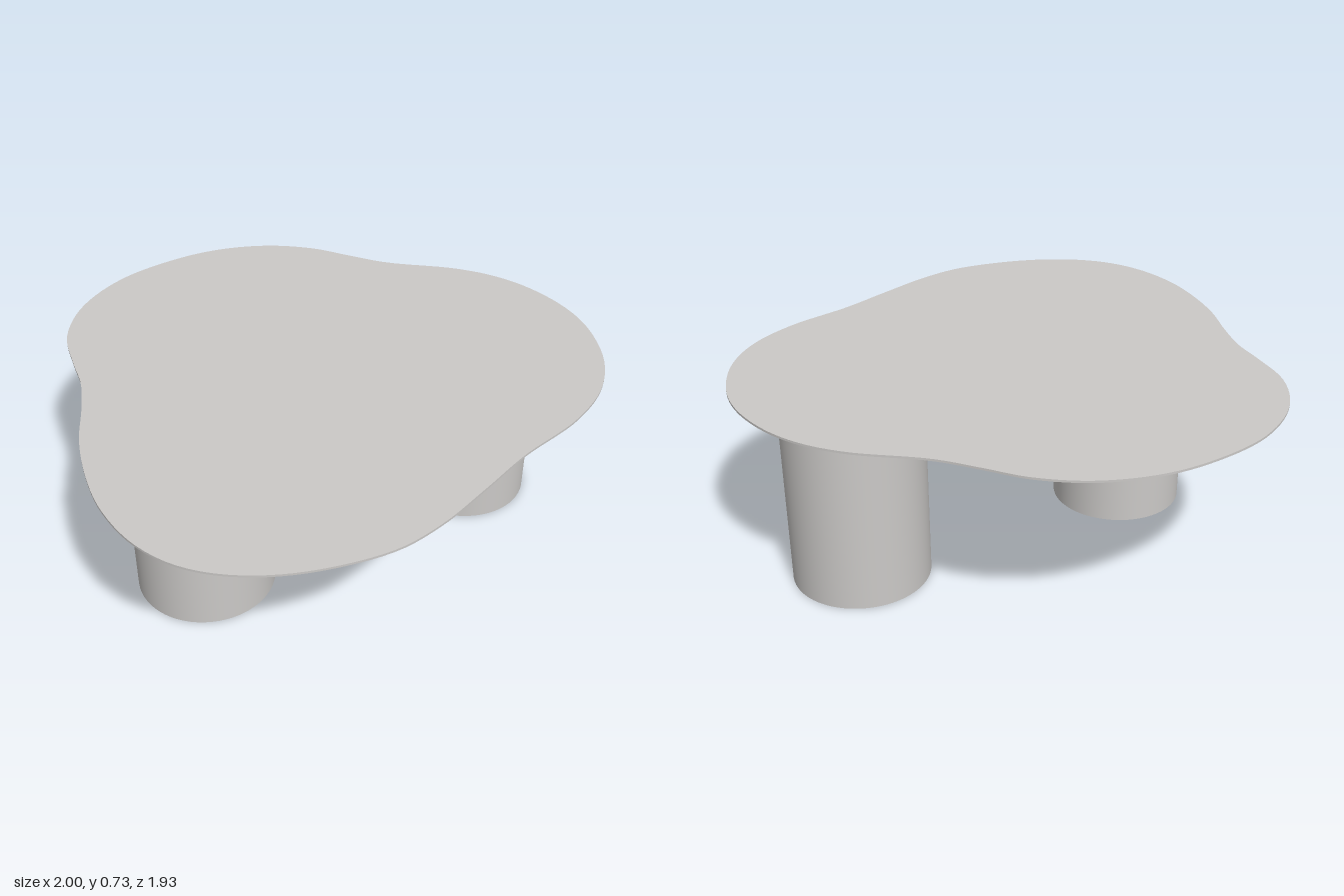
import * as THREE from 'three';

const stone = new THREE.MeshStandardMaterial({ color: 0xcbc9c7 });
stone.name = 'warm grey';

// Outline of the top as x, z pairs, anticlockwise seen from above
const OUTLINE = [
  [-0.13, -0.97], [-0.395, -0.93], [-0.61, -0.807], [-0.738, -0.635], [-0.783, -0.45],
  [-0.805, -0.32], [-0.86, -0.17], [-0.93, -0.01], [-0.981, 0.18], [-1, 0.35],
  [-0.978, 0.535], [-0.913, 0.682], [-0.80, 0.80], [-0.61, 0.902], [-0.32, 0.962],
  [-0.13, 0.937], [0.085, 0.868], [0.30, 0.793], [0.567, 0.727], [0.754, 0.632],
  [0.888, 0.492], [0.978, 0.296], [1, 0.135], [0.973, -0.05], [0.909, -0.20],
  [0.807, -0.33], [0.594, -0.512], [0.487, -0.645], [0.396, -0.763], [0.246, -0.88], [0.06, -0.952],
];
const STEPS = 160;

// Ring of points following the outline, moved inward by inset
function makeRing(y, inset) {
  const curve = new THREE.CatmullRomCurve3(OUTLINE.map(([x, z]) => new THREE.Vector3(x, 0, z)), true);
  const pts = curve.getSpacedPoints(STEPS).slice(0, STEPS);
  return pts.map((p, i) => {
    // a wide tangent keeps the bevel even
    const t = pts[(i + 4) % STEPS].clone().sub(pts[(i + STEPS - 4) % STEPS]).normalize();
    return [p.x + t.z * inset, y, p.z - t.x * inset];
  });
}

function buildGeometry(points, index) {
  const g = new THREE.BufferGeometry();
  g.setAttribute('position', new THREE.Float32BufferAttribute(points.flat(), 3));
  g.setIndex(index);
  g.computeVertexNormals();
  return g;
}

// Wall between two rings, smooth all the way round
function band(upper, lower) {
  const index = [];
  for (let i = 0; i < STEPS; i++) {
    const j = (i + 1) % STEPS;
    index.push(STEPS + i, STEPS + j, i, STEPS + j, j, i);
  }
  return buildGeometry([...upper, ...lower], index);
}

// Flat face fanned from the centre
function cap(ring, facesUp) {
  const index = [];
  for (let i = 0; i < STEPS; i++) {
    const j = (i + 1) % STEPS;
    index.push(STEPS, facesUp ? i : j, facesUp ? j : i);
  }
  return buildGeometry([...ring, [0, ring[0][1], 0]], index);
}

export function createModel() {
  const model = new THREE.Group();
  model.name = 'coffeeTable';
  const add = (parent, name, geometry) => {
    const mesh = new THREE.Mesh(geometry, stone);
    mesh.name = name;
    parent.add(mesh);
    return mesh;
  };

  // Table top: thin rim with a bevel running under it
  const top = new THREE.Group();
  top.name = 'tableTop';
  model.add(top);
  const upper = makeRing(0.732, 0);
  const rim = makeRing(0.724, 0);
  const under = makeRing(0.687, 0.09);
  add(top, 'topSurface', cap(upper, true));
  add(top, 'rim', band(upper, rim));
  add(top, 'bevel', band(rim, under));
  add(top, 'underside', cap(under, false));

  // Two round legs
  const legGeometry = new THREE.CylinderGeometry(0.257, 0.257, 0.69, 64);
  for (const [name, x] of [['leftLeg', 0.615], ['rightLeg', -0.542]]) {
    add(model, name, legGeometry).position.set(x, 0.345, 0.06);
  }
  return model;
}
